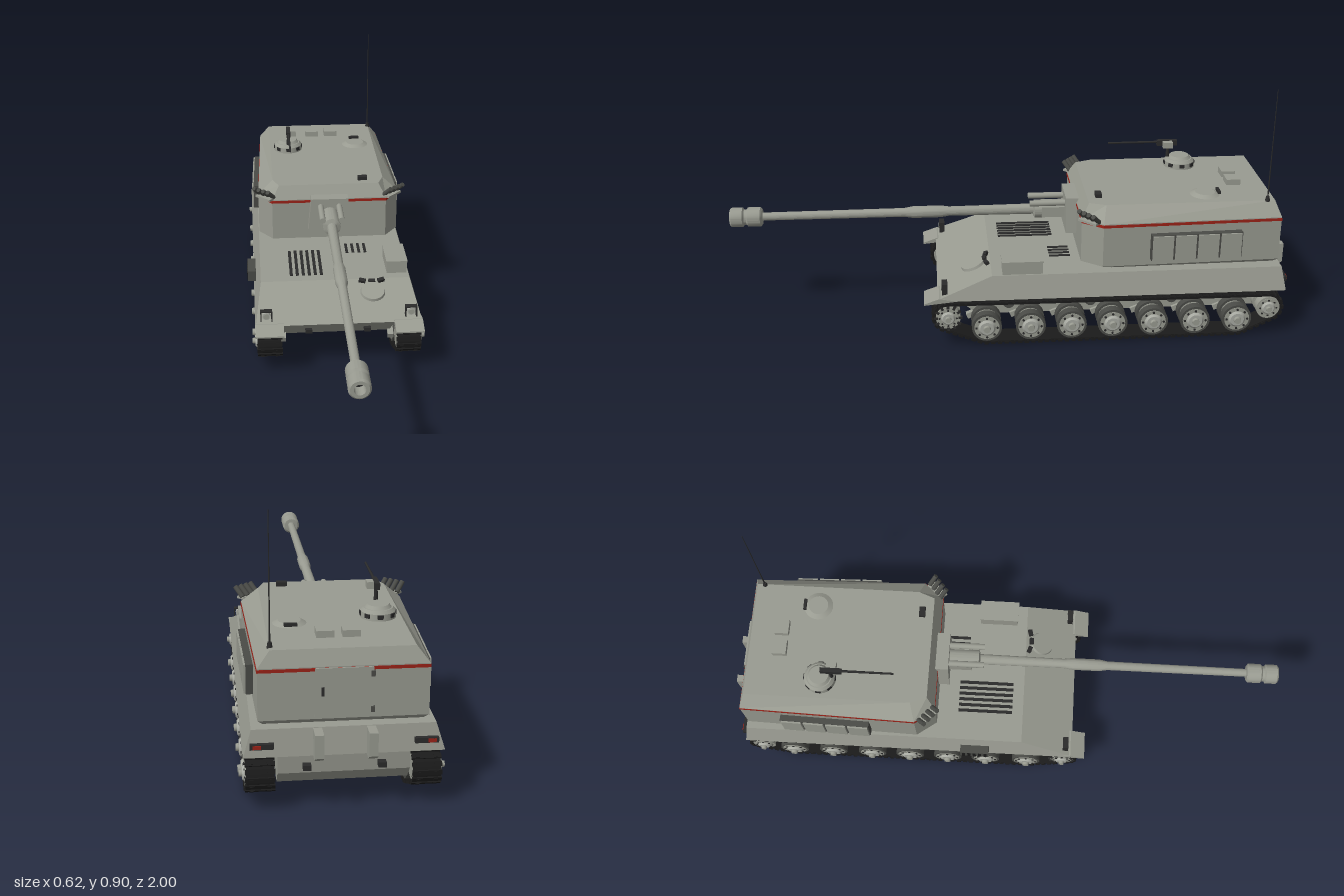
import * as THREE from 'three';
import { mergeGeometries, toCreasedNormals } from 'three/addons/utils/BufferGeometryUtils.js';

const mat = (name, color) => {
  const m = new THREE.MeshStandardMaterial({ color });
  m.name = name;
  return m;
};

// Extrude a [z, y] side profile across x, centred
function extrudeX(pts, width, holePts) {
  const toVec = p => new THREE.Vector2(p[0], p[1]);
  const shape = new THREE.Shape(pts.map(toVec));
  if (holePts) shape.holes.push(new THREE.Path(holePts.map(toVec)));
  const g = new THREE.ExtrudeGeometry(shape, { depth: width, bevelEnabled: false });
  return g.rotateY(-Math.PI / 2).translate(width / 2, 0, 0);
}

// Closed solid through stacked rings of points (counter-clockwise from above)
function loft(rings) {
  const pos = [], n = rings[0].length;
  const tri = (a, b, c) => pos.push(...a, ...b, ...c);
  for (let k = 0; k + 1 < rings.length; k++) {
    for (let i = 0; i < n; i++) {
      const j = (i + 1) % n, lo = rings[k], hi = rings[k + 1];
      tri(lo[i], lo[j], hi[j]);
      tri(lo[i], hi[j], hi[i]);
    }
  }
  const top = rings[rings.length - 1], bot = rings[0];
  for (let i = 1; i + 1 < n; i++) {
    tri(top[0], top[i], top[i + 1]);
    tri(bot[0], bot[i + 1], bot[i]);
  }
  const g = new THREE.BufferGeometry();
  g.setAttribute('position', new THREE.Float32BufferAttribute(pos, 3));
  g.computeVertexNormals();
  return g;
}

// Convex outline around circles [z, y, r]
function beltOutline(circles, grow) {
  const pts = [];
  for (const [z, y, r] of circles) for (let i = 0; i < 40; i++) {
    const a = i / 40 * Math.PI * 2;
    pts.push([z + Math.cos(a) * (r + grow), y + Math.sin(a) * (r + grow)]);
  }
  pts.sort((a, b) => a[0] - b[0] || a[1] - b[1]);
  const half = list => {
    const h = [];
    for (const p of list) {
      while (h.length > 1) {
        const a = h[h.length - 2], b = h[h.length - 1];
        if ((b[0] - a[0]) * (p[1] - a[1]) - (b[1] - a[1]) * (p[0] - a[0]) > 1e-9) break;
        h.pop();
      }
      h.push(p);
    }
    return h.slice(0, -1);
  };
  return [...half(pts), ...half([...pts].reverse())];
}

const box = (w, h, d) => new THREE.BoxGeometry(w, h, d);
const cyl = (rt, rb, h, n = 24) => new THREE.CylinderGeometry(rt, rb, h, n);
const axle = (r, w, n = 24, r2 = r) => cyl(r2, r, w, n).rotateZ(-Math.PI / 2);

export function createModel() {
  const paint = mat('greyPaint', 0x999b91), dark = mat('darkMetal', 0x2b2b2b), rubber = mat('trackBlack', 0x1b1b1b);
  const tyre = mat('tyreGrey', 0x4a4b47), red = mat('redPaint', 0x9c2218), steel = mat('paleSteel', 0xa9aba3);
  const root = new THREE.Group(), body = new THREE.Group();
  body.name = 'vehicle';
  body.position.x = 0.009;
  root.add(body);
  const add = (name, geo, m, x = 0, y = 0, z = 0, rx = 0, ry = 0, rz = 0, parent = body) => {
    const mesh = new THREE.Mesh(geo, m);
    mesh.name = name;
    mesh.position.set(x, y, z);
    mesh.rotation.set(rx, ry, rz);
    parent.add(mesh);
    return mesh;
  };

  // Hull: tub below, sponson body with leaning sides above
  add('lowerHull', extrudeX([[0.265, 0.187], [0.13, 0.075], [-0.9, 0.075], [-0.94, 0.12], [-0.945, 0.187]], 0.39), paint);
  const upper = extrudeX([[0.27, 0.187], [0.08, 0.262], [-0.94, 0.262], [-0.955, 0.18], [0.2, 0.18]], 0.59);
  const p = upper.attributes.position;
  for (let i = 0; i < p.count; i++) p.setX(i, p.getX(i) * (1 - (p.getY(i) - 0.18) * 1.03));
  upper.computeVertexNormals();
  add('upperHull', upper, paint);
  const slopeY = z => 0.262 - (z - 0.08) * 0.39, tilt = Math.atan(0.39);

  // Deck grilles, hatch, stowage box and exhaust
  for (let i = 0; i < 6; i++) add('engineGrille', box(0.011, 0.004, 0.2), dark, -0.158 + i * 0.022, 0.263, -0.06);
  for (let i = 0; i < 4; i++) add('smallGrille', box(0.01, 0.004, 0.075), dark, 0.06 + i * 0.023, 0.263, -0.17);
  add('driverHatch', cyl(0.042, 0.046, 0.012), paint, 0.13, slopeY(0.14) + 0.003, 0.14, tilt);
  for (let i = -1; i < 2; i++) {
    add('driverPeriscope', box(0.024, 0.012, 0.014), dark, 0.13 + i * 0.034, 0.262, 0.1 - Math.abs(i) * 0.006, tilt, i * 0.3);
  }
  add('stowageBox', box(0.073, 0.046, 0.14), paint, 0.228, 0.285, -0.027);
  add('stowageLid', box(0.078, 0.006, 0.145), paint, 0.228, 0.307, -0.027);
  add('exhaustBox', box(0.03, 0.04, 0.105), tyre, -0.302, 0.225, -0.092);
  for (let i = 0; i < 5; i++) add('exhaustSlot', box(0.003, 0.034, 0.011), rubber, -0.3175, 0.225, -0.132 + i * 0.02);

  const outline = (fw, w, rw, zf, zs, zr, y, o = 0) => [
    [fw + o, y, zf + o], [w + o, y, zs + o], [rw + o, y, zr - o],
    [-rw - o, y, zr - o], [-w - o, y, zs + o], [-fw - o, y, zf + o]];
  const wall = (y, o) => outline(0.217, 0.268, 0.25, -0.235, -0.305, -0.93, y, o);

  // Turret
  add('turretRing', cyl(0.2, 0.2, 0.02, 40), tyre, 0, 0.265, -0.55);
  add('turretShell', loft([outline(0.19, 0.245, 0.235, -0.29, -0.34, -0.915, 0.268), wall(0.283), wall(0.443),
    outline(0.19, 0.212, 0.212, -0.262, -0.32, -0.912, 0.492)]), paint);
  add('redStripe', loft([wall(0.43, 0.0012), wall(0.44, 0.0012)]), red);
  add('rearDoor', box(0.17, 0.15, 0.008), paint, 0, 0.365, -0.932);
  add('doorHandle', box(0.008, 0.026, 0.008), dark, 0.062, 0.37, -0.938);
  for (const y of [0.31, 0.42]) add('doorHinge', box(0.012, 0.018, 0.008), tyre, -0.083, y, -0.935);

  // Gun with mantlet
  const mantlet = loft([[0.082, 0.328], [0.07, 0.458]].map(([w, y]) =>
    [[w, y, -0.197], [w, y, -0.25], [-w, y, -0.25], [-w, y, -0.197]]));
  add('mantlet', mantlet, paint);
  add('gunCradle', box(0.076, 0.038, 0.09), paint, 0, 0.392, -0.16);
  const gunProfile = [[0.033, -0.21], [0.033, -0.09], [0.019, -0.085], [0.017, 0.22], [0.0215, 0.25], [0.0215, 0.35],
    [0.016, 0.38], [0.0145, 0.885], [0.028, 0.886], [0.035, 0.892], [0.035, 0.936], [0.028, 0.942], [0.028, 0.95],
    [0.035, 0.955], [0.035, 0.994], [0.029, 1], [0.018, 1], [0.018, 0.955], [0, 0.955]];
  const gun = new THREE.LatheGeometry(gunProfile.map(q => new THREE.Vector2(...q)), 24).rotateX(Math.PI / 2);
  add('gunBarrel', toCreasedNormals(gun, 0.5), paint, 0, 0.392, 0);
  add('gunBore', new THREE.CircleGeometry(0.0175, 20), dark, 0, 0.392, 0.957);
  for (const s of [-1, 1]) add('recoilCylinder', cyl(0.011, 0.011, 0.14, 16), paint, s * 0.035, 0.428, -0.14, Math.PI / 2);

  // Commander's cupola and machine gun
  const cx = -0.14, cz = -0.645;
  add('cupolaBase', cyl(0.054, 0.056, 0.022, 32), paint, cx, 0.502, cz);
  add('cupolaRim', cyl(0.046, 0.055, 0.01, 32), paint, cx, 0.518, cz);
  add('cupolaHatch', cyl(0.034, 0.042, 0.01, 32), paint, cx, 0.528, cz);
  for (let i = 0; i < 8; i++) {
    const a = i * Math.PI / 4;
    add('visionBlock', box(0.018, 0.013, 0.004), dark, cx + Math.sin(a) * 0.055, 0.505, cz + Math.cos(a) * 0.055, 0, a);
  }
  add('machineGunPost', cyl(0.005, 0.007, 0.05, 10), dark, cx, 0.552, cz + 0.045);
  add('machineGunBody', box(0.016, 0.02, 0.075), dark, cx, 0.582, cz + 0.05);
  add('machineGunBarrel', cyl(0.0035, 0.0045, 0.19, 10), dark, cx, 0.585, cz + 0.175, Math.PI / 2);
  add('ammunitionBox', box(0.022, 0.022, 0.035), paint, cx + 0.019, 0.58, cz + 0.05);

  // Roof fittings
  for (const x of [-0.035, 0.043]) add('roofBox', box(0.053, 0.022, 0.05), paint, x, 0.502, -0.8);
  add('loaderHatch', cyl(0.035, 0.054, 0.01, 32), paint, 0.137, 0.496, -0.68);
  add('hatchHandle', box(0.04, 0.01, 0.01), dark, 0.137, 0.502, -0.728);
  add('roofSight', box(0.036, 0.015, 0.022), dark, 0.132, 0.498, -0.302);
  add('antennaBase', cyl(0.006, 0.009, 0.018, 12), dark, 0.21, 0.498, -0.885);
  add('antenna', cyl(0.0012, 0.0025, 0.39, 8), dark, 0.21, 0.7, -0.885);

  // Running gear layout as [z, y, radius]
  const wheels = [0.1, -0.055, -0.2, -0.345, -0.49, -0.64, -0.79];
  const circles = [[0.235, 0.112, 0.044], [0.1, 0.068, 0.054], [-0.79, 0.068, 0.054], [-0.9, 0.108, 0.043]];
  const outer = beltOutline(circles, 0.008), inner = beltOutline(circles, 0.001);
  const curve = new THREE.CurvePath();
  outer.forEach((a, i) => {
    const b = outer[(i + 1) % outer.length];
    curve.add(new THREE.LineCurve3(new THREE.Vector3(0, a[1], a[0]), new THREE.Vector3(0, b[1], b[0])));
  });
  const pads = [], padCount = 110;
  for (let i = 0; i < padCount; i++) {
    const u = i / padCount, q = curve.getPointAt(u), t = curve.getTangentAt(u), a = -Math.atan2(t.y, t.z);
    pads.push(box(0.088, 0.009, 0.015).rotateX(a).translate(q.x, q.y, q.z));
    for (const x of [-0.026, 0.026]) pads.push(box(0.012, 0.013, 0.008).rotateX(a).translate(x, q.y, q.z));
  }
  const padGeo = mergeGeometries(pads), beltGeo = extrudeX(outer, 0.082, inner);

  function wheel(name, s, z, y, r, rimMat) {
    const g = new THREE.Group();
    g.name = name;
    g.position.set(s * 0.245, y, z);
    g.scale.x = 1;
    g.rotation.y = s < 0 ? Math.PI : 0;
    body.add(g);
    for (const x of [-0.025, 0.027]) {
      add('rim', axle(r, 0.03), rimMat, x, 0, 0, 0, 0, 0, g);
      add('disc', axle(r * 0.84, 0.034), paint, x, 0, 0, 0, 0, 0, g);
    }
    add('dish', axle(r * 0.6, 0.008, 24, r * 0.45), steel, 0.047, 0, 0, 0, 0, 0, g);
    add('hub', axle(r * 0.28, 0.02, 16, r * 0.22), paint, 0.051, 0, 0, 0, 0, 0, g);
    for (let i = 0; i < 8; i++) {
      const a = i * Math.PI / 4;
      add('wheelBolt', axle(r * 0.08, 0.004, 8), dark, 0.0445, Math.sin(a) * r * 0.7, Math.cos(a) * r * 0.7, 0, 0, 0, g);
    }
    return g;
  }

  for (const s of [-1, 1]) {
    // Tracks and wheels
    add('trackBelt', beltGeo, rubber, s * 0.245);
    add('trackPads', padGeo, rubber, s * 0.245);
    for (const z of wheels) {
      wheel('roadWheel', s, z, 0.068, 0.053, tyre);
      add('suspensionArm', box(0.02, 0.02, 0.08), paint, s * 0.195, 0.085, z + 0.03, 0.4);
    }
    const sprocket = wheel('driveSprocket', s, 0.235, 0.112, 0.043, paint);
    for (let i = 0; i < 12; i++) {
      const a = i * Math.PI / 6;
      add('sprocketTooth', box(0.008, 0.014, 0.009), dark, 0.04, Math.cos(a) * 0.043, Math.sin(a) * 0.043, a, 0, 0, sprocket);
    }
    wheel('idlerWheel', s, -0.9, 0.108, 0.042, paint);
    for (const z of [0.02, -0.27, -0.56]) add('returnRoller', axle(0.02, 0.05, 16), tyre, s * 0.22, 0.14, z);

    // Fender noses and headlights
    add('frontFender', extrudeX([[0.265, 0.192], [0.318, 0.173], [0.318, 0.168], [0.2, 0.18]], 0.1), paint, s * 0.245);
    add('headlight', cyl(0.014, 0.014, 0.02, 16), steel, s * 0.255, 0.218, 0.245, Math.PI / 2);
    add('headlightLens', cyl(0.01, 0.01, 0.003, 16), paint, s * 0.255, 0.218, 0.256, Math.PI / 2);
    for (const k of [-1, 1]) add('lightGuardPost', box(0.004, 0.038, 0.02), dark, s * 0.255 + k * 0.019, 0.216, 0.245);
    add('lightGuardBar', box(0.042, 0.004, 0.02), dark, s * 0.255, 0.235, 0.245);

    // Towing hooks, rear brackets and tail lights
    add('frontHook', box(0.024, 0.014, 0.03), dark, s * 0.105, 0.13, 0.205);
    add('rearHook', box(0.024, 0.016, 0.03), dark, s * 0.11, 0.145, -0.95);
    add('rearBracket', extrudeX([[-0.94, 0.26], [-1, 0.262], [-1, 0.19], [-0.98, 0.175], [-0.94, 0.175]], 0.026), paint, s * 0.078);
    add('tailLightHousing', box(0.07, 0.016, 0.014), dark, s * 0.24, 0.215, -0.954);
    add('tailLight', box(0.024, 0.011, 0.004), red, s * 0.255, 0.215, -0.962);

    // Turret side racks
    const lean = s * 0.029;
    add('sideRack', box(0.022, 0.094, 0.32), tyre, s * 0.27, 0.356, -0.63, 0, lean);
    for (let i = 0; i < 4; i++) {
      const z = -0.51 - i * 0.08;
      add('rackPanel', box(0.02, 0.09, 0.072), paint, s * (0.277 + (z + 0.63) * 0.029), 0.356, z, 0, lean);
    }

    // Smoke launchers on the front corners
    add('launcherBracket', box(0.075, 0.008, 0.03), paint, s * 0.243, 0.447, -0.258, 0, s * 0.8);
    for (let i = 0; i < 4; i++) {
      add('smokeTube', cyl(0.0085, 0.0085, 0.045, 12), tyre,
        s * (0.222 + i * 0.017), 0.466, -0.234 - i * 0.014, 0.65, 0, -s * 0.55);
    }
  }
  return root;
}
